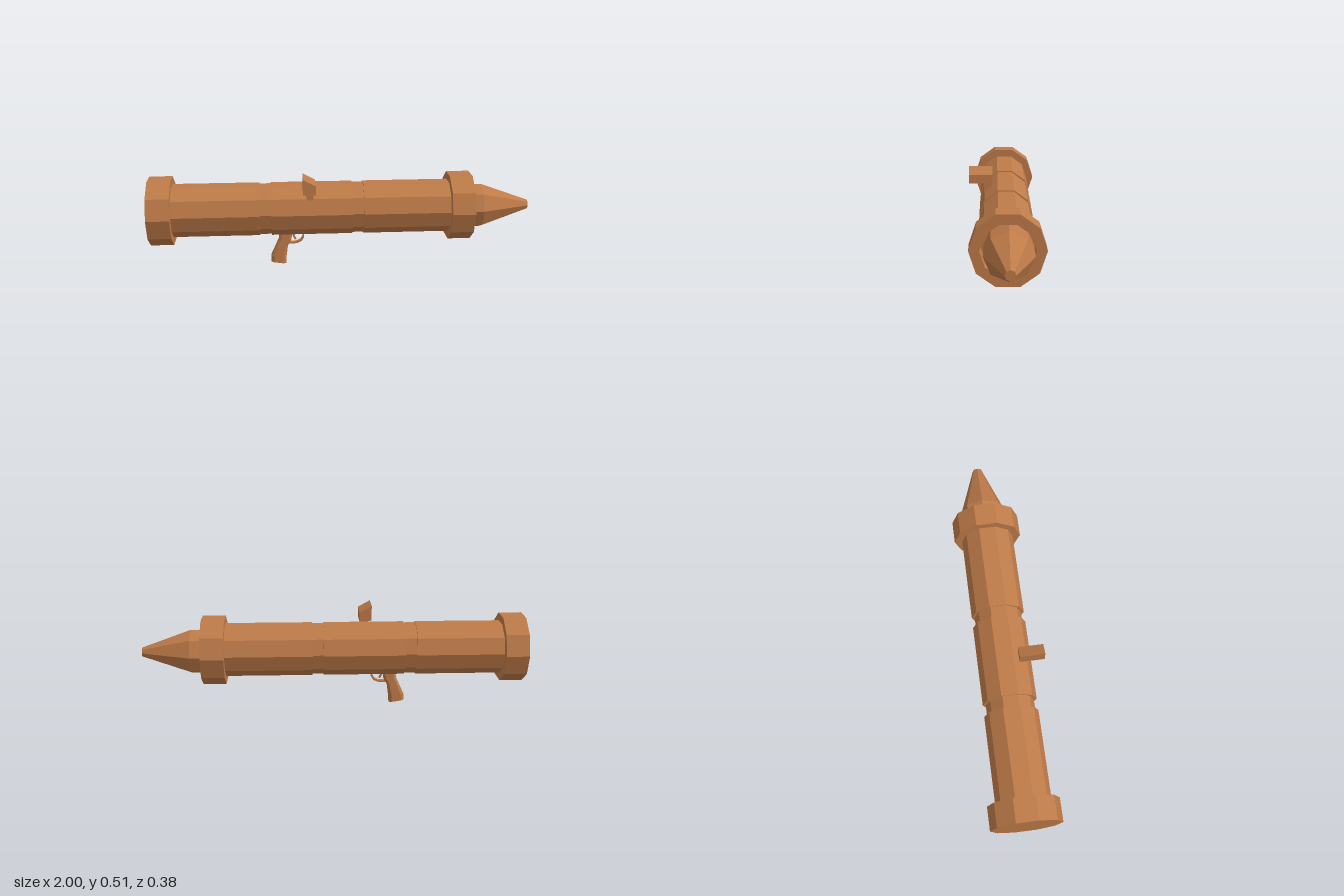
import * as THREE from 'three';

const wood = new THREE.MeshStandardMaterial({ color: 0xbe7b49, flatShading: true });
wood.name = 'warm brown';

const AXIS_Y = 0.303, AXIS_Z = -0.008;

export function createModel() {
  const model = new THREE.Group();
  model.name = 'shoulderLauncher';

  function add(name, geometry, x = 0, y = 0, z = 0) {
    const mesh = new THREE.Mesh(geometry, wood);
    mesh.name = name;
    mesh.position.set(x, y, z);
    model.add(mesh);
    return mesh;
  }

  // Faceted solid turned about the x axis; profile is [x, radius] pairs
  function turned(name, profile, sides, y = AXIS_Y, z = AXIS_Z) {
    const points = profile.map(([x, r]) => new THREE.Vector2(r, x));
    return add(name, new THREE.LatheGeometry(points, sides).rotateZ(-Math.PI / 2), 0, y, z);
  }

  // Tube: rear section with collar, middle section, hollow front section
  turned('rearTube', [[-1, 0], [-1, 0.18], [-0.88, 0.18], [-0.88, 0.139], [-0.43, 0.139], [-0.43, 0]], 10);
  turned('middleTube', [[-0.37, 0], [-0.37, 0.139], [0.055, 0.139], [0.055, 0]], 10);
  turned('frontTube', [[0.112, 0], [0.112, 0.139], [0.565, 0.139], [0.565, 0.18], [0.685, 0.18],
    [0.685, 0.13], [0.57, 0.13], [0.57, 0]], 10);

  // Shallow grooves between the sections, pinched from the sides
  for (const [a, b] of [[-0.43, -0.37], [0.055, 0.112]]) {
    const band = turned('grooveBand', [[a, 0.139], [b, 0.139]], 10);
    band.scale.set(1, 0.965, 0.89);
  }

  // Warhead
  turned('warhead', [[0.57, 0.118], [0.745, 0.118], [1, 0.025], [1, 0]], 8, 0.296, -0.013);

  // Sight block with a sloped top, on a short stem
  const sightShape = new THREE.Shape([[-0.205, 0.432], [-0.14, 0.428], [-0.14, 0.476], [-0.205, 0.512]]
    .map(([x, y]) => new THREE.Vector2(x, y)));
  add('sight', new THREE.ExtrudeGeometry(sightShape, { depth: 0.1275, bevelEnabled: false }), 0, 0, 0.0625);
  add('sightStem', new THREE.BoxGeometry(0.034, 0.06, 0.045), -0.168, 0.408, 0.087);

  // Grip: chamfered block with [y, back x, front x, half width] per row, top first
  const rows = [
    [0.185, -0.328, -0.263, 0.018],
    [0.136, -0.334, -0.266, 0.019],
    [0.1, -0.35, -0.286, 0.021],
    [0.045, -0.375, -0.294, 0.024],
    [0.006, -0.377, -0.297, 0.025],
  ];
  const grip = new THREE.CylinderGeometry(1, 1, rows.length - 1, 8, rows.length - 1, false, Math.PI / 8);
  const p = grip.attributes.position;
  const chamfer = v => (Math.abs(v) < 0.01 ? 0 : Math.sign(v) * (Math.abs(v) > 0.5 ? 1 : 0.62));
  for (let i = 0; i < p.count; i++) {
    const k = Math.round((rows.length - 1) / 2 - p.getY(i));
    const [y, back, front, half] = rows[k];
    const u = chamfer(p.getX(i)), w = chamfer(p.getZ(i));
    const tilt = k === rows.length - 1 ? -0.006 * u : 0;
    p.setXYZ(i, (back + front) / 2 + u * (front - back) / 2, y + tilt, w * half);
  }
  add('grip', grip, 0, 0, -0.003);

  // Trigger guard and trigger: flat strips swept along short paths
  function strip(name, path, thick, width) {
    for (let i = 0; i < path.length - 1; i++) {
      const [x0, y0] = path[i], [x1, y1] = path[i + 1];
      const length = Math.hypot(x1 - x0, y1 - y0) + thick * 0.4;
      const piece = add(name, new THREE.BoxGeometry(length, thick, width), (x0 + x1) / 2, (y0 + y1) / 2, 0);
      piece.rotation.z = Math.atan2(y1 - y0, x1 - x0);
    }
  }
  strip('triggerGuard', [[-0.204, 0.178], [-0.204, 0.145], [-0.216, 0.127], [-0.24, 0.116], [-0.29, 0.114]], 0.009, 0.022);
  strip('trigger', [[-0.25, 0.178], [-0.255, 0.152], [-0.246, 0.134]], 0.009, 0.012);

  return model;
}
